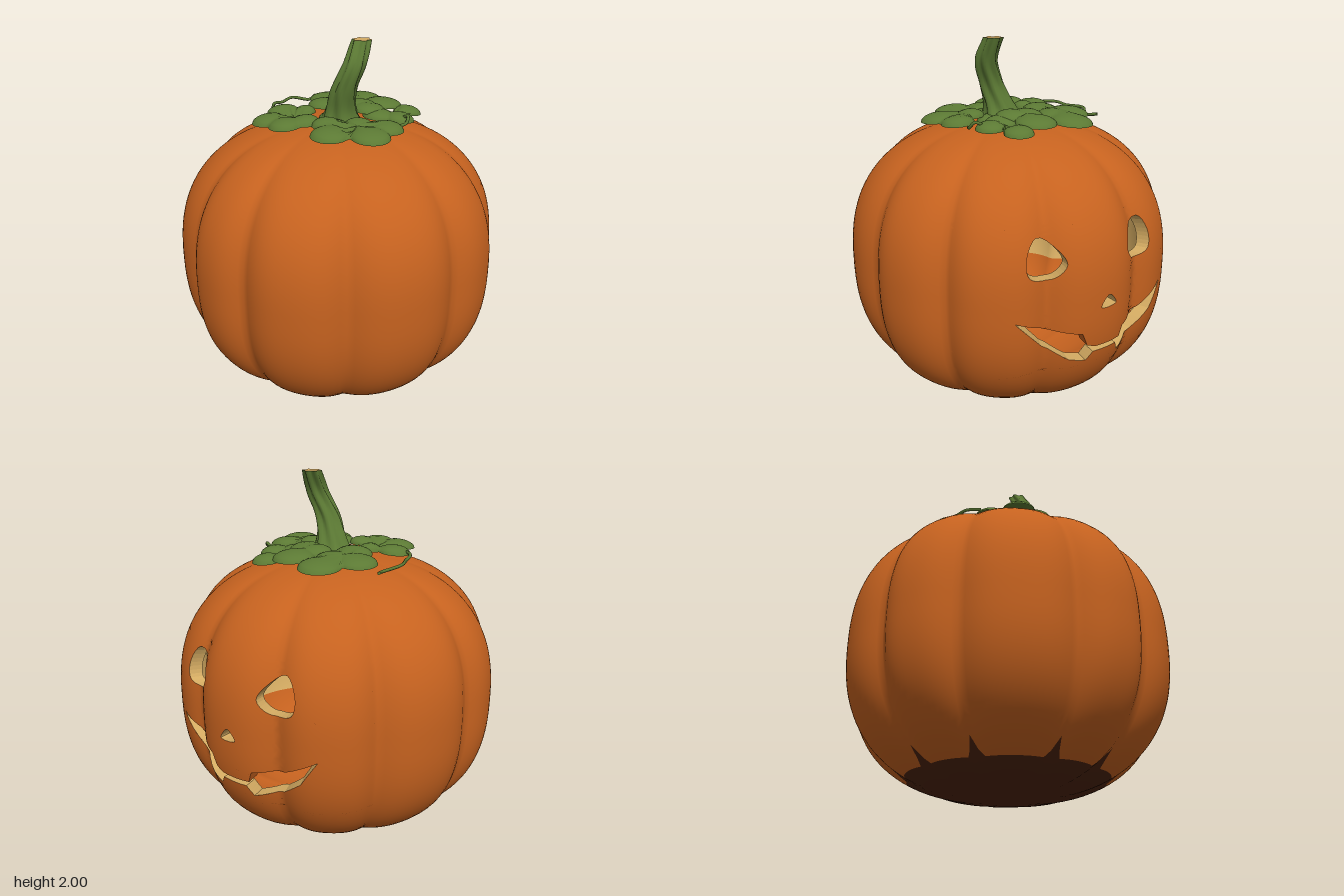
import * as THREE from 'three';
import { mergeGeometries } from 'three/addons/utils/BufferGeometryUtils.js';

const R = 0.903, H = 0.7775, N = 2.5, E = 2 / N, INNER = 0.92, COLS = 16, ROWS = 22;
const rad = THREE.MathUtils.degToRad, lerp = THREE.MathUtils.lerp;
// groove directions around the body, measured from the front towards +x
const grooves = [13.5, 51, 93, 127, 161, 199, 233, 273, 304, 343, 373.5].map(rad);

const paint = (name, color) =>
  Object.assign(new THREE.MeshStandardMaterial({ color, side: THREE.DoubleSide }), { name });

// position inside a lobe: -1 and 1 at the grooves, 0 at the crest
function lobe(theta) {
  const t = THREE.MathUtils.euclideanModulo(theta - grooves[0], 2 * Math.PI) + grooves[0];
  let i = 0;
  while (i < 9 && t >= grooves[i + 1]) i++;
  return (2 * (t - grooves[i])) / (grooves[i + 1] - grooves[i]) - 1;
}
// soft grooves that fade towards the poles
function lobeScale(theta, phi) {
  const a = 1.08 - Math.hypot(1 - Math.abs(lobe(theta)), 0.08);
  return 1 - 0.07 * a ** 3 * Math.max(0, Math.cos(phi)) ** 0.6;
}

// lobed superellipsoid: point for angle theta and latitude phi
function bodyPoint(theta, phi, k = 1) {
  const r = R * lobeScale(theta, phi) * Math.max(0, Math.cos(phi)) ** E * k;
  const s = Math.sin(phi), h = H * (0.75 + 0.25 * k);
  return new THREE.Vector3(r * Math.sin(theta), H + h * Math.sign(s) * Math.abs(s) ** E, r * Math.cos(theta));
}
function latitude(y) {
  const d = (y - H) / H;
  return Math.sign(d) * Math.asin(Math.min(1, Math.abs(d) ** (N / 2)));
}
const implicit = (x, y, z) =>
  (Math.hypot(x, z) / (R * lobeScale(Math.atan2(x, z), latitude(y)))) ** N + Math.abs((y - H) / H) ** N;
function bodyNormal({ x, y, z }) {
  const e = 0.006;
  return new THREE.Vector3(
    implicit(x + e, y, z) - implicit(x - e, y, z),
    implicit(x, y + e, z) - implicit(x, y - e, z),
    implicit(x, y, z + e) - implicit(x, y, z - e)).normalize();
}

// wraps a flat (theta, phi) geometry on the body; the inner skin is turned to face inwards
function wrap(flat, inner = false) {
  const p = flat.attributes.position, pos = [], nor = [];
  for (let i = 0; i < p.count; i += 3) {
    for (const j of inner ? [0, 2, 1] : [0, 1, 2]) {
      const theta = p.getX(i + j), phi = p.getY(i + j);
      pos.push(...bodyPoint(theta, phi, inner ? INNER : 1));
      nor.push(...bodyNormal(bodyPoint(theta, phi)).multiplyScalar(inner ? -1 : 1));
    }
  }
  return build(pos, nor);
}
function build(pos, nor) {
  const g = new THREE.BufferGeometry();
  g.setAttribute('position', new THREE.Float32BufferAttribute(pos, 3));
  if (nor) g.setAttribute('normal', new THREE.Float32BufferAttribute(nor, 3));
  else g.computeVertexNormals();
  return g;
}

// flat strip of one lobe between two latitude rules
function strip(i, low, high, rows) {
  const g = new THREE.PlaneGeometry(1, 1, COLS, rows).toNonIndexed(), p = g.attributes.position;
  for (let k = 0; k < p.count; k++) {
    const theta = lerp(grooves[i], grooves[i + 1], p.getX(k) + 0.5);
    p.setXY(k, theta, lerp(low(theta), high(theta), p.getY(k) + 0.5));
  }
  return g;
}

// halves long edges until the flat panel is fine enough to bend
function refine(geometry, max) {
  const p = geometry.toNonIndexed().attributes.position, stack = [], pos = [];
  const at = (i) => new THREE.Vector3().fromBufferAttribute(p, i);
  for (let i = 0; i < p.count; i += 3) stack.push([at(i), at(i + 1), at(i + 2)]);
  while (stack.length) {
    let [a, b, c] = stack.pop();
    const ab = a.distanceTo(b), bc = b.distanceTo(c), ca = c.distanceTo(a);
    if (bc >= ab && bc >= ca) [a, b, c] = [b, c, a];
    else if (ca >= ab) [a, b, c] = [c, a, b];
    if (a.distanceTo(b) <= max) { pos.push(...a, ...b, ...c); continue; }
    const m = a.clone().lerp(b, 0.5);
    stack.push([a, m, c], [m, b, c]);
  }
  return build(pos);
}

// carved outlines, given as x and y on the back of the body
function onBack([x, y]) {
  const phi = latitude(y);
  return new THREE.Vector2(Math.PI - Math.asin(x / (R * 0.965 * Math.cos(phi) ** E)), phi);
}
function rounded(points) {
  const curve = new THREE.CatmullRomCurve3(points.map(([x, y]) => new THREE.Vector3(x, y, 0)), true);
  return curve.getPoints(28).slice(0, -1).map((p) => onBack([p.x, p.y]));
}
function jagged(points) {
  const out = [];
  for (let i = 0; i + 1 < points.length; i++)
    for (let k = 0; k < 4; k++)
      out.push(onBack([0, 1].map((j) => lerp(points[i][j], points[i + 1][j], k / 4))));
  return [...out, onBack(points.at(-1))];
}
// thickness of the rind along a cut
function cut(line) {
  const pos = [];
  for (let i = 0; i + 1 < line.length; i++) {
    const [a, b, c, d] = [[i, 1], [i + 1, 1], [i + 1, INNER], [i, INNER]]
      .map(([j, k]) => bodyPoint(line[j].x, line[j].y, k));
    pos.push(...a, ...b, ...c, ...a, ...c, ...d);
  }
  return build(pos);
}

// leaf outline is the union of round lobes seen from its centre; each lobe is puffed up
function leafGeometry(cx, cz, y, lobes) {
  const n = 80, rings = [0, 0.25, 0.5, 0.7, 0.82, 0.91, 0.97, 1], pos = [], index = [];
  rings.forEach((t, k) => {
    for (let i = 0; i < n; i++) {
      const a = (i / n) * 2 * Math.PI;
      let reach = 0.05;
      for (const [x, z, r] of lobes) {
        const px = x - cx, pz = z - cz, b = px * Math.cos(a) + pz * Math.sin(a);
        const q = b * b - px * px - pz * pz + r * r;
        if (q > 0) reach = Math.max(reach, b + Math.sqrt(q));
      }
      const x = cx + Math.cos(a) * reach * t, z = cz + Math.sin(a) * reach * t;
      const puff = Math.max(0, ...lobes.map(([lx, lz, r]) => 1 - ((x - lx) ** 2 + (z - lz) ** 2) / r ** 2));
      pos.push(x, y + 0.04 * Math.sqrt(puff) - 0.12 * (x * x + z * z), z);
      const j = (i + 1) % n, o = k * n;
      if (k) index.push(o - n + i, o + j, o + i, o - n + i, o - n + j, o + j);
    }
  });
  const g = new THREE.BufferGeometry();
  g.setAttribute('position', new THREE.Float32BufferAttribute(pos, 3));
  g.setIndex(index);
  g.computeVertexNormals();
  return g;
}

export function createModel() {
  const group = new THREE.Group();
  const orange = paint('orange rind', 0xc6621f), flesh = paint('pale flesh', 0xd4ab62);
  const green = paint('leaf green', 0x5c7a34), dark = paint('dark base', 0x4c2308);
  const add = (name, geometry, material) => {
    const mesh = new THREE.Mesh(geometry, material);
    mesh.name = name;
    group.add(mesh);
  };

  // carved face
  const eye = [[0.31, 1.145], [0.2, 1.06], [0.185, 1.01], [0.26, 0.94], [0.36, 0.96], [0.37, 1.05]];
  const eyes = [1, -1].map((s) => rounded(eye.map(([x, y]) => [s * x, y])));
  const nose = rounded([[-0.03, 0.83], [-0.075, 0.775], [0.015, 0.77]]);
  const upperLip = jagged([[0.43, 0.74], [0.27, 0.67], [0.11, 0.64], [0.08, 0.57], [0.03, 0.55], [-0.13, 0.55],
    [-0.15, 0.61], [-0.32, 0.64], [-0.48, 0.74]]);
  const lowerLip = jagged([[-0.48, 0.74], [-0.4, 0.6], [-0.3, 0.51], [-0.14, 0.46], [-0.11, 0.52],
    [0.04, 0.52], [0.07, 0.47], [0.16, 0.49], [0.3, 0.58], [0.43, 0.74]]);
  const mouth = [...upperLip.slice(0, -1), ...lowerLip.slice(0, -1)];

  // back panel with the openings, spanning three lobes; its rim follows the strip columns and rows
  const low = latitude(0.4), high = latitude(1.2);
  const rimPoints = [];
  for (let i = 3; i < 6; i++)
    for (let k = 0; k < COLS; k++) rimPoints.push([lerp(grooves[i], grooves[i + 1], k / COLS), low]);
  for (let k = 0; k < ROWS; k++) rimPoints.push([grooves[6], lerp(low, high, k / ROWS)]);
  for (let i = 5; i > 2; i--)
    for (let k = 0; k < COLS; k++) rimPoints.push([lerp(grooves[i + 1], grooves[i], k / COLS), high]);
  for (let k = 0; k < ROWS; k++) rimPoints.push([grooves[3], lerp(high, low, k / ROWS)]);
  const panel = new THREE.Shape(rimPoints.map((p) => new THREE.Vector2(...p)));
  for (const hole of [...eyes, nose, mouth]) panel.holes.push(new THREE.Path(hole));
  const skin = [refine(new THREE.ShapeGeometry(panel), 0.05)];

  // remaining rind, and the base whose edge rises into the grooves
  const base = [], foot = [];
  const rim = (theta) => latitude(0.1 + 0.08 * Math.max(0, (Math.abs(lobe(theta)) - 0.82) / 0.18));
  for (let i = 0; i < 10; i++) {
    base.push(strip(i, () => -Math.PI / 2, rim, 10));
    foot.push(strip(i, rim, () => low, 10));
    skin.push(strip(i, () => high, () => Math.PI / 2, 18));
    if (i < 3 || i > 5) skin.push(strip(i, () => low, () => high, ROWS));
  }
  add('rind', mergeGeometries([...skin, ...foot].map((g) => wrap(g))), orange);
  add('base', mergeGeometries(base.map((g) => wrap(g))), dark);
  add('innerWall', mergeGeometries(skin.map((g) => wrap(g, true))), flesh);
  add('innerFloor', mergeGeometries([...foot, ...base].map((g) => wrap(g, true))), orange);
  eyes.forEach((e, i) => add(i ? 'rightEyeCut' : 'leftEyeCut', cut([...e, e[0]]), flesh));
  add('noseCut', cut([...nose, nose[0]]), flesh);
  add('upperMouthCut', cut(upperLip), orange);
  add('lowerMouthCut', cut(lowerLip), flesh);

  // ribbed, bent stem with a star-shaped cut end
  const path = new THREE.CatmullRomCurve3([[0.03, 1.53, 0], [0.05, 1.63, 0.02], [0.09, 1.75, 0.035],
    [0.137, 1.88, 0.005], [0.127, 2, -0.055]].map((p) => new THREE.Vector3(...p)));
  const stem = new THREE.CylinderGeometry(1, 1, 1, 36, 24, true), sp = stem.attributes.position;
  const ring = (a, t) => {
    const r = (0.047 + 0.035 * (1 - t) + 0.05 * (1 - t) ** 6) * (1 + (0.09 + 0.08 * t) * Math.cos(6 * (a + t)));
    return path.getPoint(t).add(new THREE.Vector3(r * Math.sin(a), 0, r * Math.cos(a)));
  };
  for (let i = 0; i < sp.count; i++)
    sp.setXYZ(i, ...ring(Math.atan2(sp.getX(i), sp.getZ(i)), sp.getY(i) + 0.5));
  stem.computeVertexNormals();
  add('stem', stem, green);
  const end = [];
  for (let i = 0; i < 36; i++)
    end.push(...path.getPoint(1), ...ring((i * Math.PI) / 18, 1), ...ring(((i + 1) * Math.PI) / 18, 1));
  add('stemEnd', build(end), flesh);
  add('topScar', new THREE.CircleGeometry(0.04, 20).rotateX(-Math.PI / 2).translate(-0.01, 1.558, 0.13), flesh);

  // leaves: centre x, centre z, height, round lobes [x, z, radius]
  const leaves = [
    [-0.2, -0.2, 1.59, [[-0.175, -0.35, 0.115], [-0.28, -0.18, 0.11], [-0.17, -0.06, 0.1], [-0.16, -0.22, 0.1]]],
    [0.03, -0.23, 1.595, [[0.03, -0.32, 0.11], [0, -0.18, 0.09], [0.08, -0.16, 0.09]]],
    [0.18, -0.25, 1.575, [[0.17, -0.375, 0.08], [0.25, -0.23, 0.08], [0.15, -0.17, 0.09]]],
    [0.26, 0.1, 1.58, [[0.34, -0.04, 0.09], [0.37, 0.11, 0.105], [0.22, 0.25, 0.105], [0.1, 0.17, 0.08], [0.22, 0.05, 0.08]]],
    [-0.13, 0.2, 1.58, [[-0.27, 0.17, 0.09], [-0.19, 0.325, 0.095], [-0.06, 0.32, 0.09], [-0.02, 0.22, 0.08], [-0.16, 0.1, 0.06]]],
    [0.03, 0.01, 1.55, [[-0.04, 0.01, 0.07], [0.05, 0.02, 0.08], [0.13, -0.01, 0.07]]],
  ];
  for (const leaf of leaves) add('leaf', leafGeometry(...leaf), green);

  // curling tendrils
  for (const points of [
    [[-0.45, 1.56, -0.22], [-0.425, 1.55, -0.15], [-0.47, 1.57, -0.06], [-0.43, 1.57, 0.05], [-0.41, 1.58, 0.12], [-0.35, 1.58, 0.18]],
    [[0.28, 1.58, -0.22], [0.33, 1.6, -0.21], [0.345, 1.57, -0.18], [0.33, 1.56, -0.14]],
  ]) {
    const curve = new THREE.CatmullRomCurve3(points.map((p) => new THREE.Vector3(...p)));
    add('tendril', new THREE.TubeGeometry(curve, 40, 0.009, 6), green);
  }
  return group;
}
